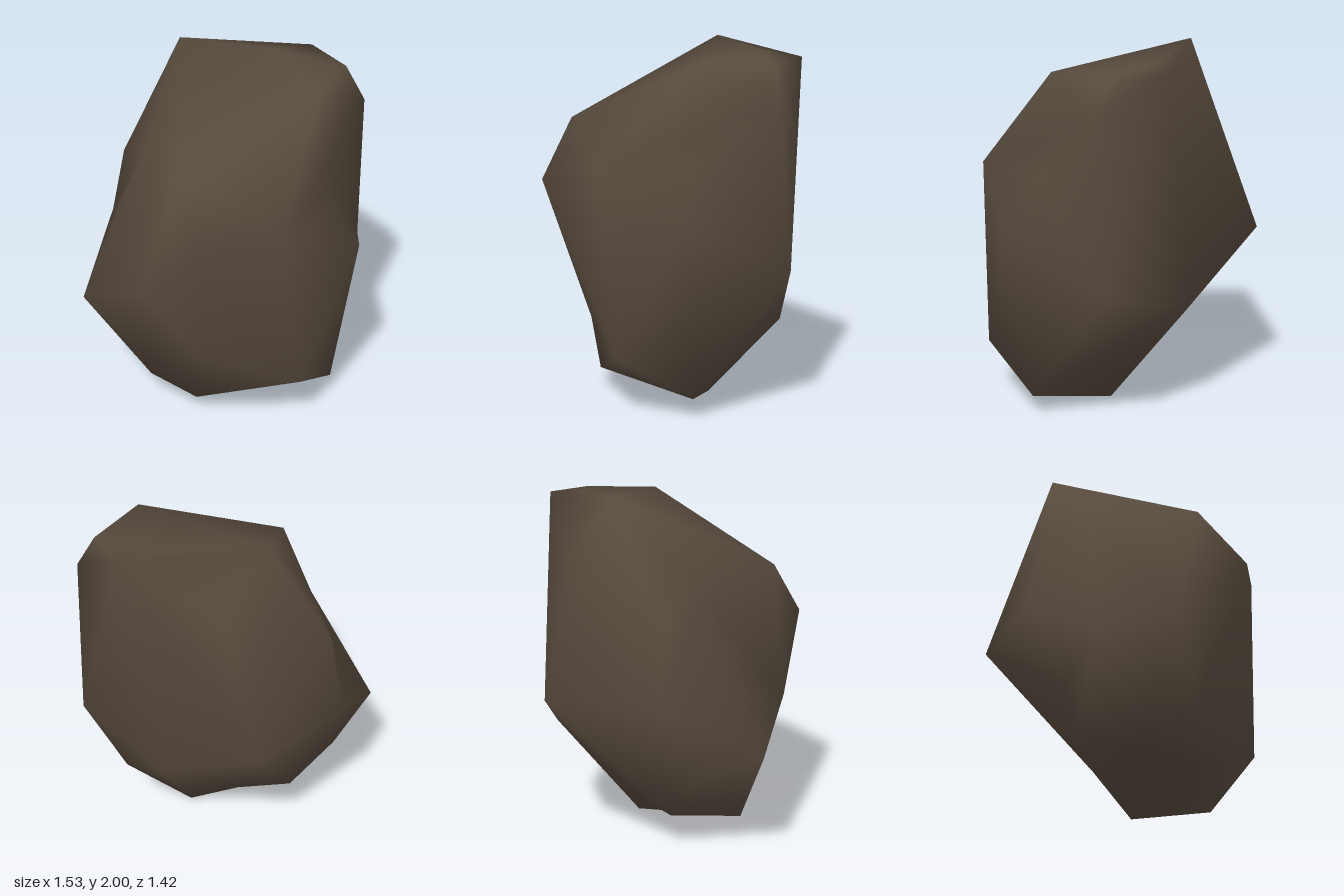
import * as THREE from 'three';
import { ConvexGeometry } from 'three/addons/geometries/ConvexGeometry.js';
import { mergeVertices } from 'three/addons/utils/BufferGeometryUtils.js';

// Corners of the boulder, grouped by height
const top = [[-0.43, 2, -0.3], [0.21, 1.91, -0.71], [0.48, 1.89, -0.53], [0.48, 1.89, -0.13]];
const shoulder = [[0.59, 1.7, -0.55], [-0.04, 1.56, 0.55], [0.17, 1.24, 0.71]];
const waist = [[-0.77, 0.96, -0.05], [-0.6, 0.95, -0.67], [-0.69, 0.67, 0.49], [0, 0.61, -0.68], [-0.63, 0.51, 0.15]];
const base = [[0.57, 0.32, 0.31], [0.3, 0.47, -0.6], [-0.44, 0.22, -0.01], [-0.33, 0.17, 0.38],
  [-0.03, 0.1, 0.4], [0.61, 0.11, -0.1], [0.12, 0, -0.22]];

// Corners around hollows: a convex guide position for joining them up, and the final one
const hollows = [
  // side spur and the hollow above it
  { guide: [0.67, 1.33, 0.42], final: [0.49, 1.33, 0.42] },
  { guide: [0.75, 0.8, -0.62], final: [0.57, 0.8, -0.62] },
  { guide: [0.71, 1.28, -0.1], final: [0.55, 1.33, -0.1] },
  { guide: [0.73, 0.85, -0.05], final: [0.76, 1.06, -0.05] },
  // dip behind the top
  { guide: [0.07, 2.03, -0.5], final: [0.07, 1.935, -0.5] },
  { guide: [-0.28, 1.8, -0.54], final: [-0.3, 1.67, -0.54] },
  // hollow on the front left
  { guide: [-0.62, 1.5, 0.32], final: [-0.45, 1.51, 0.13] },
  { guide: [-0.72, 1.37, -0.12], final: [-0.67, 1.37, -0.03] },
  { guide: [-0.3, 0.9, 0.72], final: [-0.26, 0.88, 0.61] },
  // lower front and underside
  { guide: [0.03, 0.42, 0.6], final: [0.03, 0.42, 0.45] },
  { guide: [-0.185, 0.08, -0.18], final: [-0.185, 0.2, -0.18] },
];

function boulderGeometry() {
  const corners = [...top, ...shoulder, ...waist, ...base].map((p) => ({ guide: p, final: p })).concat(hollows);
  const guides = corners.map((c) => new THREE.Vector3(...c.guide));
  const hull = new ConvexGeometry(guides);

  // Move each guide corner to its final position
  const pos = hull.attributes.position;
  const v = new THREE.Vector3();
  for (let i = 0; i < pos.count; i++) {
    v.fromBufferAttribute(pos, i);
    const k = guides.findIndex((g) => g.distanceToSquared(v) < 1e-8);
    pos.setXYZ(i, ...corners[k].final);
  }

  // Share corners between faces for smooth shading
  hull.deleteAttribute('normal');
  const geometry = mergeVertices(hull, 1e-4);
  geometry.computeVertexNormals();
  return geometry;
}

export function createModel() {
  const group = new THREE.Group();
  group.name = 'rock';
  const stone = new THREE.MeshStandardMaterial({ color: 0x574a3d });
  stone.name = 'brown stone';
  const boulder = new THREE.Mesh(boulderGeometry(), stone);
  boulder.name = 'boulder';
  group.add(boulder);
  return group;
}
